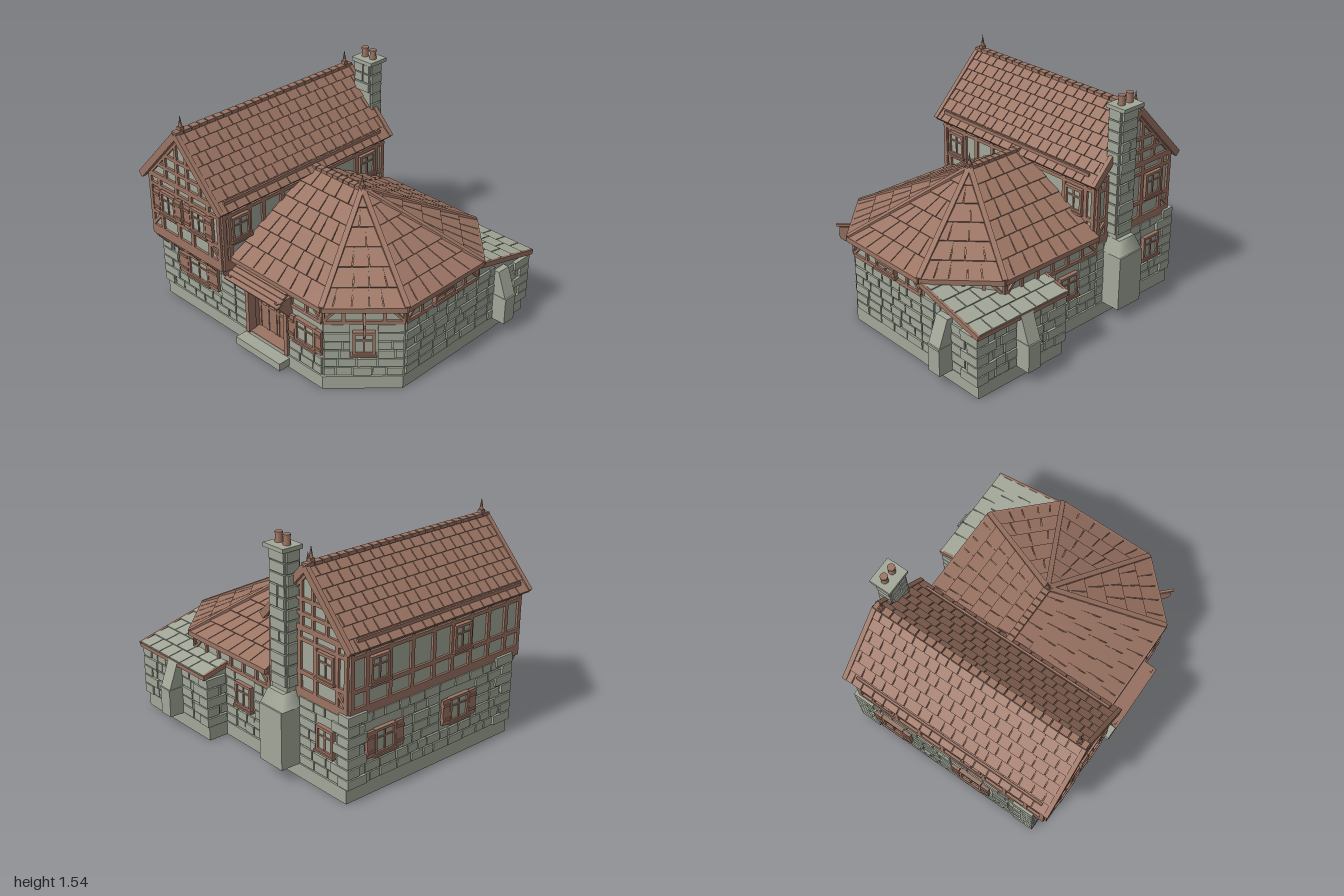
import * as THREE from 'three';
import { mergeGeometries } from 'three/addons/utils/BufferGeometryUtils.js';

const material = (name, color) => {
  const m = new THREE.MeshStandardMaterial({ color });
  m.name = name;
  return m;
};
const V = (x, y, z) => new THREE.Vector3(x, y, z);

export function createModel() {
  const root = new THREE.Group();
  root.name = 'timberFramedInn';
  const stone = material('greyStone', 0xa3a899);
  const wood = material('brownTimber', 0x9b7463);
  let seed = 7;
  const rnd = () => (seed = (seed * 16807) % 2147483647) / 2147483647;

  // --- helpers ---
  const add = (parent, name, geo, mat) => {
    const m = new THREE.Mesh(geo, mat);
    m.name = name;
    parent.add(m);
    return m;
  };
  const box = (g, name, mat, x, y, w, h, d, z = 0) => {
    const m = add(g, name, new THREE.BoxGeometry(w, h, d), mat);
    m.position.set(x, y, z);
    return m;
  };
  // flat beam on a wall between two points
  const beam = (g, x1, y1, x2, y2, w = 0.028, d = 0.03) => {
    const m = box(g, 'beam', wood, (x1 + x2) / 2, (y1 + y2) / 2, Math.hypot(x2 - x1, y2 - y1), w, d);
    m.rotation.z = Math.atan2(y2 - y1, x2 - x1);
  };
  // free beam between two points in space
  const strut = (name, mat, a, b, w, h) => {
    const m = add(root, name, new THREE.BoxGeometry(w, h, a.distanceTo(b)), mat);
    m.position.copy(a).lerp(b, 0.5);
    m.lookAt(b);
  };
  // vertical prism over an [x, z] footprint
  const prism = (name, mat, pts, y0, y1) => {
    const s = new THREE.Shape(pts.map(([x, z]) => new THREE.Vector2(x, -z)));
    const geo = new THREE.ExtrudeGeometry(s, { depth: y1 - y0, bevelEnabled: false });
    add(root, name, geo.rotateX(-Math.PI / 2).translate(0, y0, 0), mat);
  };
  // profile in a wall plane, extruded by depth
  const profile = (g, name, mat, pts, depth, x = 0, y = 0, z = 0) => {
    const s = new THREE.Shape(pts.map(p => new THREE.Vector2(...p)));
    const m = add(g, name, new THREE.ExtrudeGeometry(s, { depth, bevelEnabled: false }), mat);
    m.position.set(x, y, z);
    return m;
  };
  // local x runs along the wall, z points outwards
  const wall = (name, x, z, angle) => {
    const g = new THREE.Group();
    g.name = name;
    g.position.set(x, 0, z);
    g.rotation.y = angle;
    root.add(g);
    return g;
  };
  // coursed blocks, leaving holes [x0, x1, y0, y1]
  const stones = (g, x0, x1, y0, y1, holes = [], top = () => 9) => {
    const rows = Math.round((y1 - y0) / 0.068), h = (y1 - y0) / rows, parts = [];
    for (let r = 0; r < rows; r++) {
      const yb = y0 + r * h;
      let spans = [[x0, x1]];
      for (const [a, b, c, d] of holes) {
        if (yb + h < c + 0.015 || yb > d - 0.015) continue;
        spans = spans.flatMap(([s, e]) => (b <= s || a >= e ? [[s, e]] : [[s, a], [b, e]])).filter(([s, e]) => e - s > 0.02);
      }
      for (const [s, e] of spans) {
        let x = s;
        while (x < e - 0.01) {
          let w = 0.075 + rnd() * 0.065;
          if (e - x - w < 0.05) w = e - x;
          if (yb + h <= top(x + w)) {
            const d = 0.018 + rnd() * 0.012;
            parts.push(new THREE.BoxGeometry(w - 0.009, h - 0.009, d).translate(x + w / 2, yb + h / 2, 0));
          }
          x += w;
        }
      }
    }
    add(g, 'stoneBlocks', mergeGeometries(parts), stone);
  };
  const windowAt = (g, x, y, w, h, shutter = 0) => {
    box(g, 'windowPane', stone, x, y, w, h, 0.008, 0.012);
    for (const s of [-1, 1]) {
      box(g, 'windowFrame', wood, x + s * w / 2, y, 0.018, h + 0.018, 0.036, 0.01);
      box(g, 'windowFrame', wood, x, y + s * h / 2, w, 0.018, 0.036, 0.01);
      if (shutter) {
        const sx = x + s * (w / 2 + shutter / 2 + 0.012);
        box(g, 'shutter', wood, sx, y, shutter, h + 0.02, 0.02, 0.018);
        for (const k of [-0.32, 0.32]) box(g, 'shutterBatten', wood, sx, y + k * h, shutter, 0.016, 0.03, 0.02);
      }
    }
    box(g, 'mullion', wood, x, y, 0.01, h, 0.026, 0.01);
    box(g, 'transom', wood, x, y + h * 0.15, w, 0.01, 0.026, 0.01);
    box(g, 'windowSill', wood, x, y - h / 2 - 0.012, w + 0.04, 0.014, 0.05, 0.012);
  };
  // hexahedra raised from corner quads: [a, b, c, d, low, highAtEave, highAtTop]
  const slabs = (name, mat, list) => {
    const pos = [];
    for (const [a, b, c, d, lo, hiE, hiT] of list) {
      const n = b.clone().sub(a).cross(c.clone().sub(a)).normalize();
      const up = (p, k) => p.clone().addScaledVector(n, k);
      const B = [a, b, c, d].map(p => up(p, lo));
      const T = [up(a, hiE), up(b, hiE), up(c, hiT), up(d, hiT)];
      const quad = (p, q, r, s) => [p, q, r, p, r, s].forEach(v => pos.push(v.x, v.y, v.z));
      quad(...T);
      quad(B[3], B[2], B[1], B[0]);
      for (let i = 0; i < 4; i++) quad(B[i], B[(i + 1) % 4], T[(i + 1) % 4], T[i]);
    }
    const geo = new THREE.BufferGeometry();
    geo.setAttribute('position', new THREE.Float32BufferAttribute(pos, 3));
    geo.computeVertexNormals();
    return add(root, name, geo, mat);
  };
  // roof plane from eave a-b up to c-d, covered in staggered tiles
  const tiledPlane = (name, mat, a, b, c, d, rows, tileW) => {
    const list = [[a, b, c, d, -0.025, 0, 0]];
    for (let r = 0; r < rows; r++) {
      const t0 = r / rows, t1 = Math.min(1, (r + 1.05) / rows);
      const l0 = a.clone().lerp(d, t0), l1 = a.clone().lerp(d, t1), r0 = b.clone().lerp(c, t0), r1 = b.clone().lerp(c, t1);
      const n = Math.max(1, Math.round(l0.distanceTo(r0) / tileW));
      const cut = i => (i === 0 || i === n ? i / n : (i + (r % 2 ? 0.25 : -0.25) + (rnd() - 0.5) * 0.3) / n);
      let u = 0;
      for (let i = 0; i < n; i++) {
        const v = cut(i + 1), g = 0.003 / Math.max(0.05, l0.distanceTo(r0));
        list.push([l0.clone().lerp(r0, u + g), l0.clone().lerp(r0, v - g), l1.clone().lerp(r1, v - g), l1.clone().lerp(r1, u + g), 0, 0.012, 0.003]);
        u = v;
      }
    }
    slabs(name, mat, list);
  };
  const finial = (x, y, z) => {
    box(root, 'finialBase', wood, x, y + 0.01, 0.032, 0.035, 0.032, z);
    add(root, 'finial', new THREE.ConeGeometry(0.016, 0.09, 6), wood).position.set(x, y + 0.06, z);
  };
  const ridgeTiles = (x0, z0, x1, z1, y, n) => {
    for (let i = 0; i < n; i++) {
      const p = k => V(x0 + (x1 - x0) * k / n, y, z0 + (z1 - z0) * k / n);
      strut('ridgeTile', wood, p(i + 0.04), p(i + 0.92), 0.046, 0.022);
    }
  };

  // --- plinth, step and masonry cores ---
  prism('plinth', stone, [[-0.965, 0.76], [0.54, 0.76], [0.885, 0.41], [0.885, -0.775], [0.19, -0.775], [0.19, -0.635], [-0.965, -0.635]], 0, 0.092);
  box(root, 'doorStep', stone, 0.04, 0.045, 0.41, 0.055, 0.1, 0.795);
  const bay = [[0.53, 0.745], [0.88, 0.395], [0.88, -0.27], [0.53, -0.62]];
  prism('lowerWalls', stone, [[-0.965, 0.745], [-0.14, 0.745], [-0.14, 0.65], [0.23, 0.65], [0.23, 0.745], ...bay, [-0.965, -0.62]], 0.09, 0.5);
  prism('hallUpperBand', stone, [[-0.3, 0.745], ...bay, [-0.3, -0.62]], 0.5, 0.61);
  prism('wingLowerTop', stone, [[-0.965, 0.745], [-0.26, 0.745], [-0.26, -0.62], [-0.965, -0.62]], 0.5, 0.57);
  const lean = profile(root, 'leanToWalls', stone, [[0.27, 0.09], [0.77, 0.09], [0.77, 0.435], [0.27, 0.57]], 0.68, 0.2);
  lean.rotation.y = Math.PI / 2;
  profile(root, 'wingUpperWalls', stone, [[-0.955, 0.55], [-0.255, 0.55], [-0.255, 0.97], [-0.605, 1.345], [-0.955, 0.97]], 1.45, 0, 0, -0.61);

  // --- stone storey facades ---
  const front = wall('frontWall', 0, 0.745, 0);
  stones(front, -0.965, -0.26, 0.095, 0.54, [[-0.83, -0.4, 0.25, 0.44]]);
  stones(front, -0.26, 0.53, 0.095, 0.48, [[-0.15, 0.24, 0, 0.6], [0.25, 0.54, 0.25, 0.44]]);
  windowAt(front, -0.61, 0.345, 0.19, 0.15, 0.09);
  windowAt(front, 0.4, 0.345, 0.16, 0.15, 0.05);
  const left = wall('leftWall', -0.965, 0, -Math.PI / 2);
  stones(left, -0.62, 0.745, 0.095, 0.55, [[-0.5, -0.2, 0.25, 0.44], [0.12, 0.44, 0.25, 0.44]]);
  windowAt(left, -0.35, 0.345, 0.15, 0.15, 0.06);
  windowAt(left, 0.28, 0.345, 0.15, 0.15, 0.06);
  const back = wall('backWall', 0, -0.62, Math.PI);
  stones(back, -0.2, 0.26, 0.095, 0.48, [[-0.1, 0.1, 0.25, 0.44]]);
  stones(back, 0.26, 0.965, 0.095, 0.55, [[0.33, 0.54, 0, 0.6], [0.69, 0.87, 0.25, 0.44]]);
  windowAt(back, 0, 0.345, 0.14, 0.15);
  windowAt(back, 0.78, 0.345, 0.13, 0.15);
  const corner = wall('cornerWall', 0.705, 0.57, Math.PI / 4);
  stones(corner, -0.245, 0.245, 0.095, 0.48, [[-0.08, 0.08, 0.25, 0.44]]);
  windowAt(corner, 0, 0.345, 0.12, 0.15);
  const right = wall('rightWall', 0.88, 0, Math.PI / 2);
  stones(right, -0.395, 0.27, 0.095, 0.48);
  stones(right, 0.27, 0.77, 0.095, 0.56, [[0.45, 0.545, 0, 0.46]], x => 0.575 - (x - 0.27) * 0.25);
  const leanBack = wall('leanToBack', 0, -0.77, Math.PI);
  stones(leanBack, -0.885, -0.2, 0.095, 0.43, [[-0.58, -0.475, 0, 0.44]]);
  stones(wall('leanToLeft', 0.2, 0, -Math.PI / 2), -0.77, -0.62, 0.095, 0.43);
  // alternating corner stones
  for (const [x, z, sx, sz, top] of [[-0.965, 0.745, 1, -1, 0.55], [-0.965, -0.62, 1, 1, 0.55], [0.885, -0.77, -1, 1, 0.44], [0.2, -0.77, 1, 1, 0.44]])
    for (let i = 0, y = 0.13; y < top; i++, y += 0.068) {
      const w = i % 2 ? 0.15 : 0.09, d = i % 2 ? 0.09 : 0.15;
      box(root, 'cornerStone', stone, x + sx * (w / 2 - 0.022), y, w, 0.06, d, z + sz * (d / 2 - 0.022));
    }
  // sloped buttresses
  for (const [g, x] of [[right, 0.4975], [leanBack, -0.5275]]) {
    const b = profile(g, 'buttress', stone, [[0, 0.09], [0.11, 0.09], [0.11, 0.27], [0.04, 0.46], [0, 0.46]], 0.1, x + 0.05);
    b.rotation.y = -Math.PI / 2;
    box(g, 'buttressLedge', stone, x, 0.275, 0.108, 0.016, 0.115, 0.057);
  }

  // --- timber band under the hall eaves ---
  const band = (g, x0, x1) => {
    beam(g, x0, 0.492, x1, 0.492, 0.024);
    beam(g, x0, 0.588, x1, 0.588, 0.03);
    const n = Math.max(1, Math.round((x1 - x0) / 0.13));
    for (let i = 0; i <= n; i++) beam(g, x0 + (x1 - x0) * i / n, 0.5, x0 + (x1 - x0) * i / n, 0.58, 0.022);
    beam(g, x0, 0.5, x0 + 0.08, 0.58, 0.016);
    beam(g, x1, 0.5, x1 - 0.08, 0.58, 0.016);
  };
  band(front, -0.25, 0.53);
  band(corner, -0.245, 0.245);
  band(right, -0.395, 0.27);
  band(back, -0.53, 0.255);
  band(wall('rearCornerWall', 0.705, -0.445, Math.PI * 0.75), -0.245, 0.245);
  windowAt(right, -0.06, 0.542, 0.17, 0.05);

  // --- recessed double door, frame and canopy ---
  const door = wall('entrance', 0.045, 0.66, 0);
  for (const s of [-1, 1]) {
    box(door, 'doorPanel', wood, s * 0.085, 0.185, 0.155, 0.18, 0.025);
    for (const k of [0.012, 0.085, 0.158]) box(door, 'doorStile', wood, s * k, 0.29, 0.018, 0.4, 0.035);
    box(door, 'doorPost', wood, s * 0.178, 0.295, 0.03, 0.41, 0.06, 0.08);
    box(door, 'doorReveal', wood, s * 0.178, 0.295, 0.016, 0.41, 0.1, 0.04);
    beam(door, s * 0.168, 0.44, s * 0.12, 0.49, 0.02, 0.18);
    const b = profile(door, 'canopyBracket', wood, [[0, 0.41], [0.025, 0.41], [0.12, 0.52], [0.12, 0.55], [0, 0.55]], 0.025, s * 0.215 + 0.0125, 0, 0.09);
    b.rotation.y = -Math.PI / 2;
  }
  for (const y of [0.275, 0.35, 0.44]) box(door, 'doorRail', wood, 0, y, 0.34, 0.016, 0.035);
  box(door, 'doorLintel', wood, 0, 0.495, 0.39, 0.035, 0.06, 0.085);
  box(door, 'threshold', wood, 0, 0.096, 0.35, 0.012, 0.1, 0.05);
  for (let i = 0; i < 5; i++) {
    const m = box(door, 'canopyPlank', wood, 0, 0.61 - i * 0.019, 0.45 + i * 0.009, 0.014, 0.045, 0.092 + i * 0.028);
    m.rotation.x = 0.35;
  }

  // --- hanging sign on the corner ---
  box(corner, 'signArm', wood, 0, 0.565, 0.016, 0.016, 0.16, 0.08);
  box(corner, 'signBrace', wood, 0, 0.53, 0.012, 0.012, 0.11, 0.04).rotation.x = -0.7;
  const board = add(corner, 'signBoard', new THREE.CylinderGeometry(0.052, 0.052, 0.016, 10).rotateZ(Math.PI / 2), wood);
  board.position.set(0, 0.5, 0.095);
  box(corner, 'signTop', wood, 0, 0.535, 0.016, 0.03, 0.09, 0.095);

  // --- timber framing of the upper wing ---
  const frame = (g, x0, x1, posts, windows, shutter) => {
    for (const [y, w] of [[0.565, 0.07], [0.705, 0.028], [0.915, 0.024], [0.985, 0.036]]) beam(g, x0, y, x1, y, w);
    for (const x of [x0 + 0.015, x1 - 0.015, ...posts]) beam(g, x, 0.6, x, 0.97);
    for (const x of windows) windowAt(g, x, 0.81, 0.13, 0.15, shutter);
  };
  const gable = wall('frontGable', -0.605, 0.84, 0);
  const rearGable = wall('rearGable', -0.605, -0.61, Math.PI);
  frame(gable, -0.35, 0.35, [-0.24, -0.07, 0.07, 0.24], [-0.155, 0.15], 0.062);
  frame(rearGable, -0.35, 0.35, [-0.26, -0.07, 0.07, 0.26], [0.17], 0);
  for (const g of [gable, rearGable]) {
    beam(g, -0.24, 1.075, 0.24, 1.075, 0.024);
    beam(g, -0.16, 1.165, 0.16, 1.165, 0.024);
    for (const s of [-1, 1]) {
      beam(g, s * 0.05, 1, s * 0.05, 1.28, 0.024);
      beam(g, s * 0.17, 1, s * 0.17, 1.15, 0.022);
      beam(g, s * 0.33, 1, s * 0.01, 1.33, 0.035);
      beam(g, s * 0.34, 0.6, s * 0.25, 0.7, 0.02);
    }
  }
  frame(wall('wingLeftFrame', -0.955, 0, -Math.PI / 2), -0.61, 0.84, [-0.48, -0.3, -0.12, 0.06, 0.22, 0.38, 0.54, 0.7], [-0.39, 0.3], 0);
  frame(wall('wingRightFrame', -0.255, 0, Math.PI / 2), -0.84, 0.61, [-0.78, -0.62, -0.5, -0.34, 0.34, 0.53], [-0.7, 0.435], 0);
  // jetty brackets
  for (const x of [-0.93, -0.77, -0.6, -0.43, -0.27]) {
    const b = profile(front, 'jettyBracket', wood, [[0, 0.42], [0.025, 0.42], [0.1, 0.51], [0.1, 0.54], [0, 0.54]], 0.026, x + 0.013);
    b.rotation.y = -Math.PI / 2;
  }

  // --- wing roof ---
  const zf = 0.885, zb = -0.645, rx = -0.605, ry = 1.38;
  tiledPlane('wingRoofRight', wood, V(-0.205, 0.965, zf), V(-0.205, 0.965, zb), V(rx, ry, zb), V(rx, ry, zf), 7, 0.085);
  tiledPlane('wingRoofLeft', wood, V(-1.0, 0.965, zb), V(-1.0, 0.965, zf), V(rx, ry, zf), V(rx, ry, zb), 7, 0.085);
  for (const [s, ex] of [[1, -0.21], [-1, -0.995]]) {
    for (const z of [zf - 0.012, zb + 0.012]) strut('bargeBoard', wood, V(ex, 0.962, z), V(rx, ry - 0.008, z), 0.03, 0.045);
    strut('eaveRail', wood, V(ex - s * 0.03, 1.018, 0.82), V(ex - s * 0.03, 1.018, -0.56), 0.014, 0.022);
  }
  ridgeTiles(rx, zf, rx, zb, ry + 0.005, 24);
  finial(rx, ry + 0.01, 0.83);
  finial(rx, ry + 0.01, -0.59);

  // --- hall roof with hipped bay end ---
  const apex = V(0.2, 0.99, 0.065), inner = V(-0.25, 0.99, 0.065), ey = 0.61;
  const eaves = [V(-0.25, ey, 0.78), V(0.555, ey, 0.78), V(0.915, ey, 0.42), V(0.915, ey, -0.285), V(0.555, ey, -0.65), V(-0.25, ey, -0.65)];
  for (let i = 0; i < 5; i++) {
    tiledPlane('hallRoof', wood, eaves[i], eaves[i + 1], i === 4 ? inner : apex, i === 0 ? inner : apex, 6, 0.11);
    strut('eaveBoard', wood, eaves[i].clone().setY(0.605), eaves[i + 1].clone().setY(0.605), 0.022, 0.034);
    if (i) strut('hipCap', wood, eaves[i].clone().setY(0.618), apex.clone().setY(0.998), 0.034, 0.024);
  }
  ridgeTiles(-0.24, 0.065, 0.2, 0.065, 0.998, 9);
  finial(0.2, 0.995, 0.065);

  // --- lean-to roof ---
  tiledPlane('leanToRoof', stone, V(0.905, 0.46, -0.805), V(0.185, 0.46, -0.805), V(0.185, 0.6, -0.27), V(0.905, 0.6, -0.27), 5, 0.12);
  for (const x of [0.19, 0.908]) strut('leanToBarge', wood, V(x, 0.452, -0.81), V(x, 0.59, -0.27), 0.018, 0.034);
  strut('leanToEave', wood, V(0.185, 0.448, -0.8), V(0.91, 0.448, -0.8), 0.02, 0.026);

  // --- chimney ---
  const cx = -0.435;
  box(root, 'chimneyBase', stone, cx, 0.28, 0.21, 0.38, 0.18, -0.68);
  const shoulder = add(root, 'chimneyShoulder', new THREE.CylinderGeometry(0.1, 0.1485, 0.1, 4, 1).rotateY(Math.PI / 4), stone);
  shoulder.position.set(cx, 0.52, -0.655);
  box(root, 'chimneyShaft', stone, cx, 0.96, 0.14, 1.0, 0.1, -0.645);
  [[0, -0.695], [Math.PI, -0.595]].forEach(([a, z], i) => stones(wall('chimneyFace', cx, z, i ? 0 : Math.PI), -0.07, 0.07, i ? 1.25 : 0.6, 1.45));
  for (const s of [-1, 1]) stones(wall('chimneySide', cx + s * 0.07, -0.645, s * Math.PI / 2), -0.05, 0.05, 0.6, 1.45);
  box(root, 'chimneyCap', stone, cx, 1.462, 0.18, 0.026, 0.15, -0.655);
  for (const s of [-1, 1]) {
    add(root, 'chimneyPot', new THREE.CylinderGeometry(0.02, 0.024, 0.06, 10), wood).position.set(cx + s * 0.036, 1.505, -0.655);
    add(root, 'chimneyPotRim', new THREE.CylinderGeometry(0.025, 0.025, 0.012, 10), wood).position.set(cx + s * 0.036, 1.533, -0.655);
  }
  return root;
}
